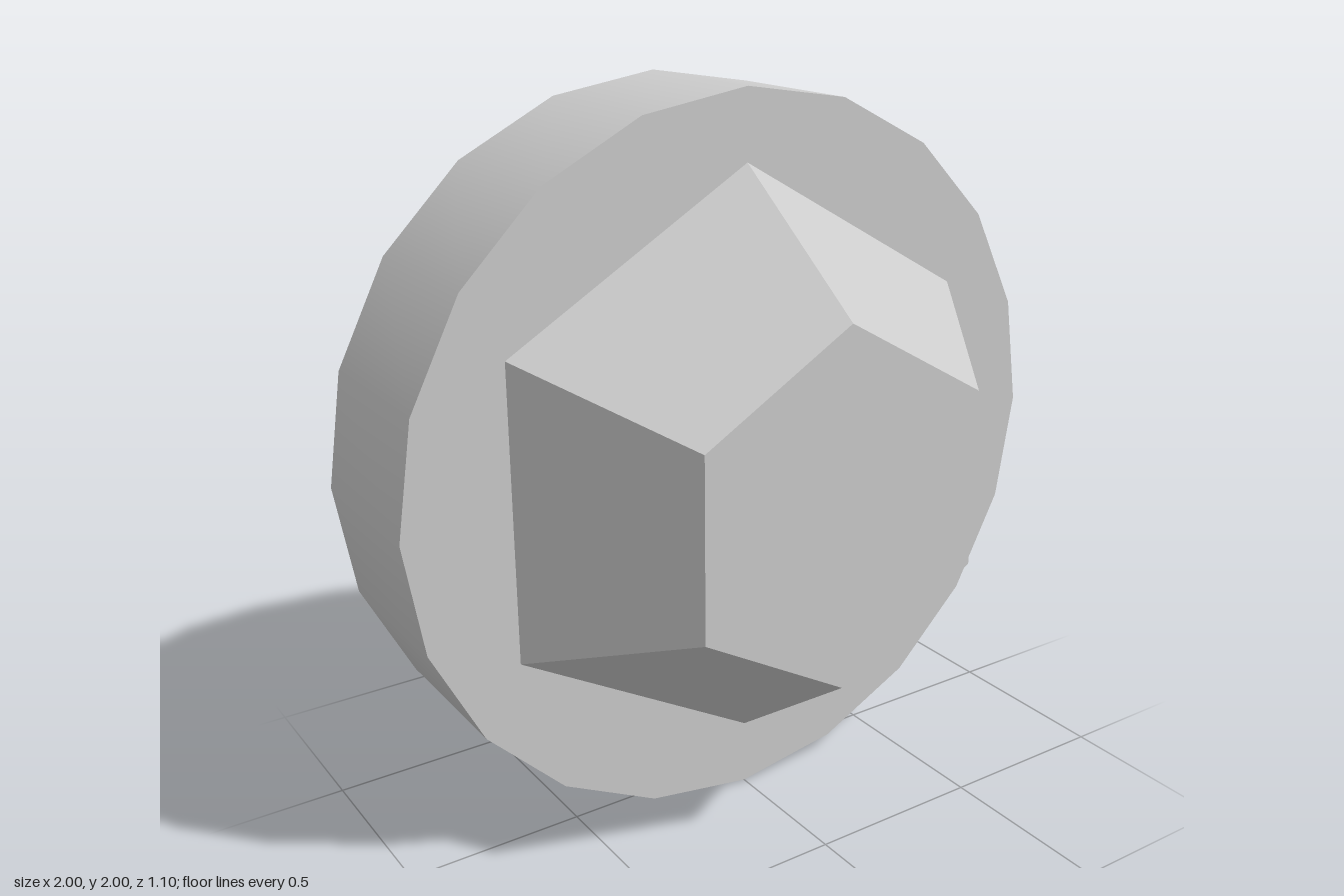
import * as THREE from 'three';
import { toCreasedNormals } from 'three/addons/utils/BufferGeometryUtils.js';

const STEPS = 120; // shared angular sampling, hits every 20-gon and hexagon corner

// Polar radius of a regular polygon with corner radius r and a corner at the top
const polygon = (n, r) => (a) => {
  const w = (Math.PI * 2) / n;
  const d = (((a - Math.PI / 2) % w) + w) % w;
  return (r * Math.cos(w / 2)) / Math.cos(d - w / 2);
};

// Polar radius of a rounded square with half-width h and corner radius r
const roundedSquare = (h, r) => (a) => {
  const c = Math.abs(Math.cos(a)), s = Math.abs(Math.sin(a)), k = h - r;
  const t = h / Math.max(c, s);
  if (t * Math.min(c, s) <= k) return t;
  const m = k * (c + s);
  return m + Math.sqrt(m * m - 2 * k * k + r * r);
};

// Skin between two outlines; going from back to front makes it face outwards
function loft([radiusA, zA], [radiusB, zB]) {
  const pos = [], index = [];
  for (let i = 0; i < STEPS; i++) {
    const a = (i / STEPS) * Math.PI * 2;
    for (const [f, z] of [[radiusA, zA], [radiusB, zB]]) {
      pos.push(Math.cos(a) * f(a), Math.sin(a) * f(a), z);
    }
    const p = i * 2, q = ((i + 1) % STEPS) * 2;
    index.push(p, q, q + 1, p, q + 1, p + 1);
  }
  const g = new THREE.BufferGeometry();
  g.setAttribute('position', new THREE.Float32BufferAttribute(pos, 3));
  g.setIndex(index);
  return toCreasedNormals(g, 0.5);
}

// Open tube along z
function tube(rFront, rBack, zBack, zFront, sides) {
  return new THREE.CylinderGeometry(rFront, rBack, zFront - zBack, sides, 1, true)
    .rotateX(Math.PI / 2)
    .translate(0, 0, (zBack + zFront) / 2);
}

// Hexagonal end face with a corner at the top
const hexCap = (r) => new THREE.CircleGeometry(r, 6, Math.PI / 2);

export function createModel() {
  const group = new THREE.Group();
  const smooth = new THREE.MeshStandardMaterial({ color: 0xcccccc });
  const flat = new THREE.MeshStandardMaterial({ color: 0xcccccc, flatShading: true });
  const add = (name, geometry, material = smooth) => {
    const mesh = new THREE.Mesh(geometry, material);
    mesh.name = name;
    mesh.position.y = 1;
    group.add(mesh);
  };

  const Z = { back: -0.55, step: -0.34, front: 0.11, tip: 0.55, cavity: 0.01, floor: 0.45 };
  const rim = polygon(20, 1), collar = polygon(20, 0.82);
  const hexBase = polygon(6, 0.81), hexInner = polygon(6, 0.8);
  const opening = roundedSquare(0.455, 0.15);

  // Wide disc and the narrower collar behind it
  add('discRim', tube(1, 1, Z.step, Z.front, 20));
  add('discFrontFace', loft([rim, Z.front], [hexBase, Z.front]), flat);
  add('discBackFace', loft([collar, Z.step], [rim, Z.step]), flat);
  add('collarRim', tube(0.82, 0.82, Z.back, Z.step, 20));
  add('collarBackFace', loft([opening, Z.back], [collar, Z.back]), flat);

  // Tapered hexagonal boss on the front
  add('bossSides', tube(0.49, 0.81, Z.front, Z.tip, 6), flat);
  add('bossFrontFace', hexCap(0.49).translate(0, 0, Z.tip), flat);

  // Socket: rounded square opening widening to a hexagon, then tapering to its floor
  add('socketThroat', loft([hexInner, Z.cavity], [opening, Z.back]));
  add('socketTaper', loft([polygon(6, 0.43), Z.floor], [hexInner, Z.cavity]), flat);
  add('socketFloor', hexCap(0.43).rotateY(Math.PI).translate(0, 0, Z.floor), flat);

  return group;
}
